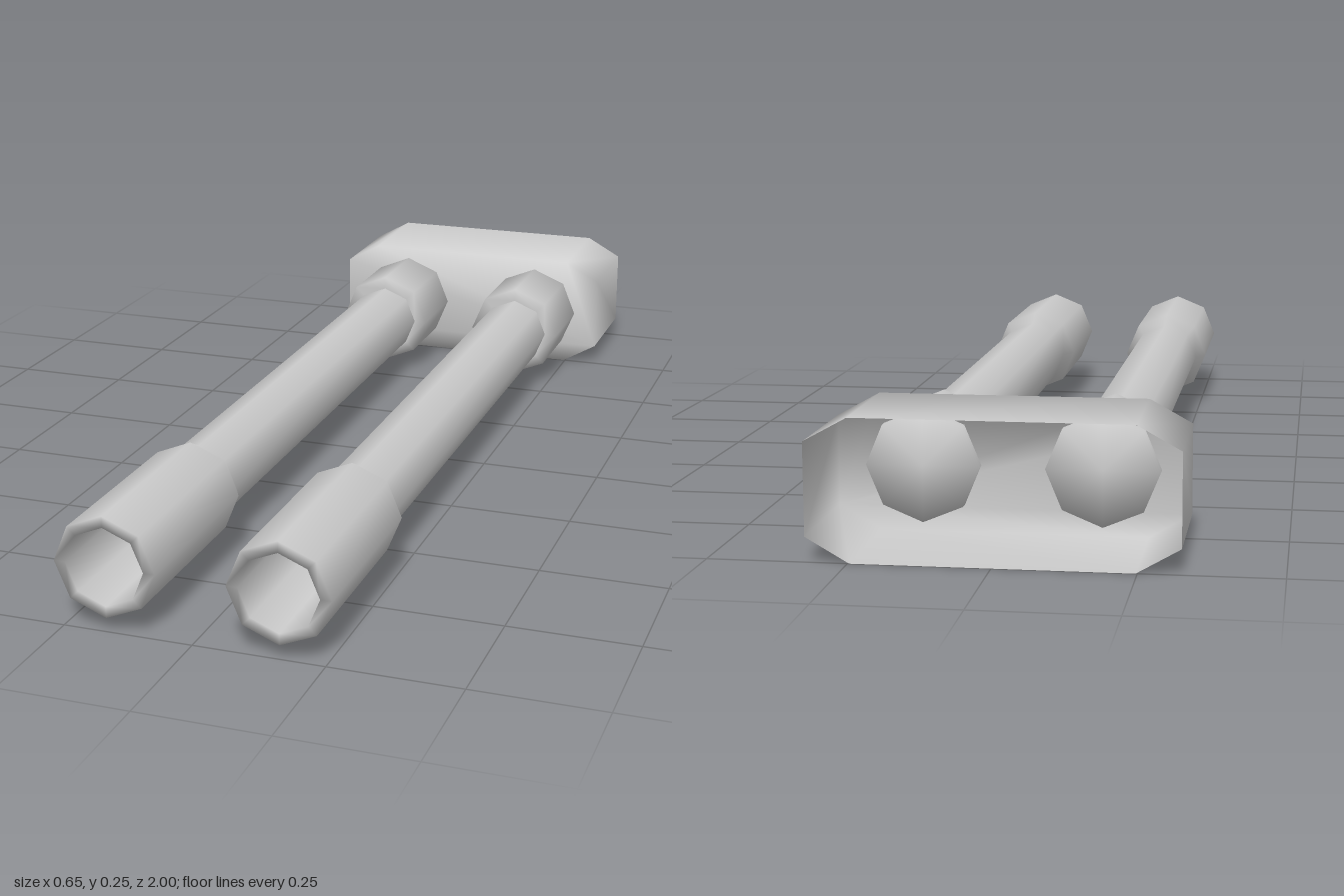
import * as THREE from 'three';

const SIDES = 8;
const material = new THREE.MeshStandardMaterial({ color: 0xcccccc, side: THREE.DoubleSide });

// Eight-sided turned part along z; profile is [radius, z] from back to front
function turned(name, profile) {
  const points = profile.map(([r, z]) => new THREE.Vector2(r, z));
  const geometry = new THREE.LatheGeometry(points, SIDES);
  geometry.rotateX(Math.PI / 2);
  const mesh = new THREE.Mesh(geometry, material);
  mesh.name = name;
  return mesh;
}

// Chamfered cup, closed at the front and open at the back, softly shaded
function housing() {
  const outline = [
    [0.325, 0.045], [0.325, 0.212], [0.247, 0.255], [-0.247, 0.255],
    [-0.325, 0.212], [-0.325, 0.045], [-0.247, 0], [0.247, 0],
  ];
  const n = outline.length;
  const positions = [];
  for (const z of [-1, -0.75]) for (const [x, y] of outline) positions.push(x, y, z);
  const index = [];
  for (let i = 0; i < n; i++) {
    const j = (i + 1) % n;
    index.push(i, j, n + j, i, n + j, n + i);
    if (i > 0 && i < n - 1) index.push(n, n + i, n + i + 1);
  }
  const geometry = new THREE.BufferGeometry();
  geometry.setAttribute('position', new THREE.Float32BufferAttribute(positions, 3));
  geometry.setIndex(index);
  geometry.computeVertexNormals();
  const mesh = new THREE.Mesh(geometry, material);
  mesh.name = 'housing';
  return mesh;
}

export function createModel() {
  const model = new THREE.Group();
  model.name = 'twinBarrels';
  model.add(housing());

  for (const side of [-1, 1]) {
    const barrel = new THREE.Group();
    barrel.name = side > 0 ? 'leftBarrel' : 'rightBarrel';
    barrel.position.set(side * 0.165, 0.125, 0);

    // Collar passes slightly through the housing wall
    barrel.add(turned('collar', [[0, -0.77], [0.105, -0.77], [0.105, -0.56], [0.077, -0.56]]));

    // Tube, flared muzzle, rim and blind bore
    barrel.add(turned('tube', [
      [0.077, -0.6], [0.077, 0.58], [0.098, 0.62], [0.098, 1],
      [0.076, 1], [0.076, 0.6], [0, 0.6],
    ]));
    model.add(barrel);
  }
  return model;
}
